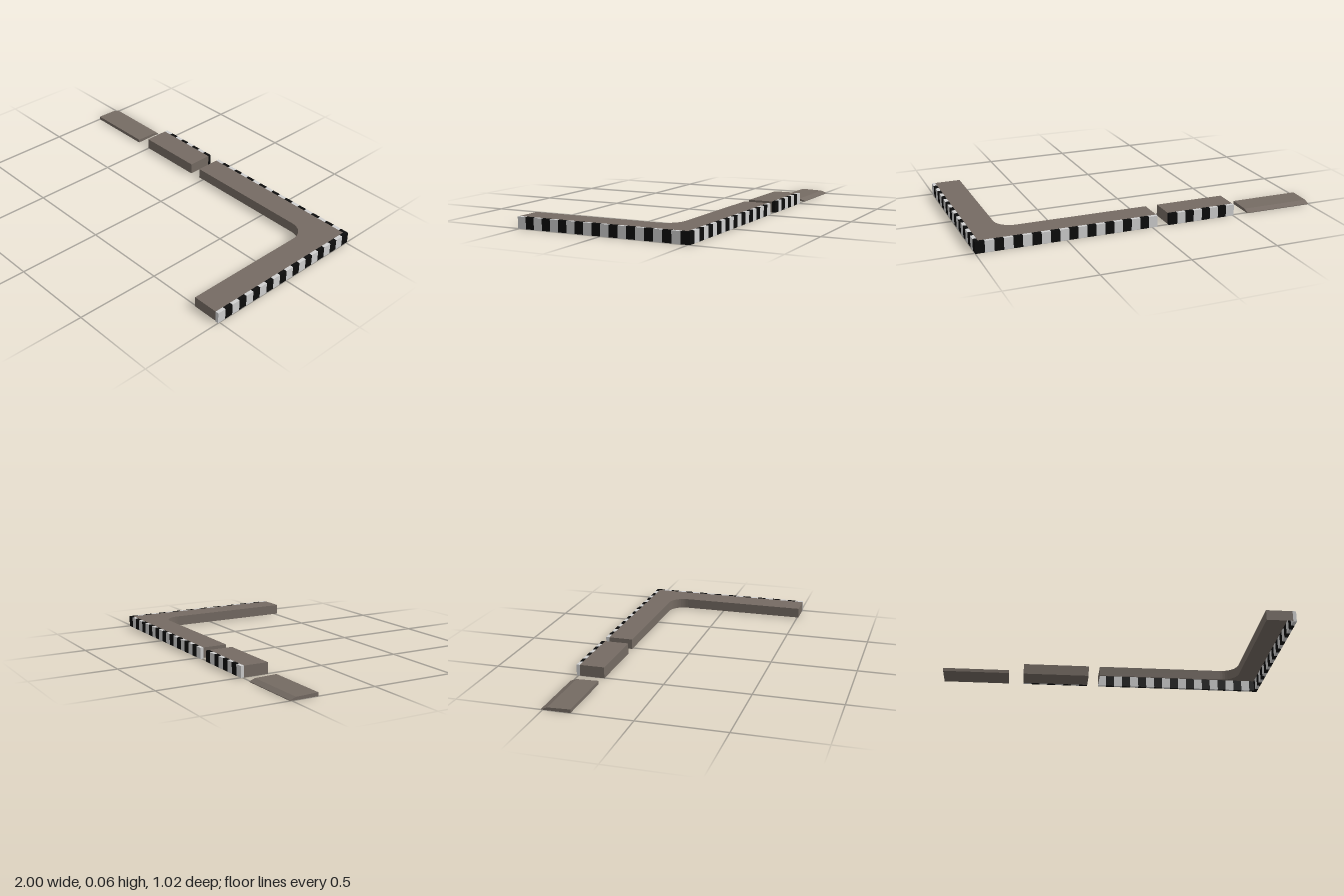
import * as THREE from 'three';

const HEIGHT = 0.065, BAND = 0.02, BACK = -0.51, FRONT = -0.345;

export function createModel() {
  const group = new THREE.Group();
  const mat = (name, color, side = THREE.FrontSide) => {
    const m = new THREE.MeshStandardMaterial({ color, side });
    m.name = name;
    return m;
  };
  const stone = mat('stone', 0x756b63, THREE.DoubleSide);
  const light = mat('light paint', 0xd0d0d0);
  const black = mat('black paint', 0x0c0c0c);

  const add = (name, geometry, material, parent = group) => {
    const mesh = new THREE.Mesh(geometry, material);
    mesh.name = name;
    parent.add(mesh);
    return mesh;
  };

  // Alternating painted blocks from one end of a curb to the other
  function stripes(name, axis, from, to, across, count) {
    const band = new THREE.Group();
    band.name = name;
    const step = (to - from) / count, len = Math.abs(step);
    for (let i = 0; i < count; i++) {
      const size = axis === 'x' ? [len, HEIGHT, BAND] : [BAND, HEIGHT, len];
      const mesh = add('stripe', new THREE.BoxGeometry(...size), i % 2 ? black : light, band);
      const along = from + (i + 0.5) * step;
      mesh.position.set(axis === 'x' ? along : across, HEIGHT / 2, axis === 'x' ? across : along);
    }
    group.add(band);
  }

  // Corner curb: hollow underneath, with a rounded inner corner
  const edge = [[-0.03, BACK + BAND], [-0.03, FRONT]];
  const r = 0.1;
  for (let i = 0; i <= 10; i++) {
    const a = (i / 10) * Math.PI / 2;
    edge.push([0.83 - r + r * Math.sin(a), FRONT + r - r * Math.cos(a)]);
  }
  edge.push([0.83, 0.51], [1 - BAND, 0.51]);

  const outline = [...edge, [1 - BAND, BACK + BAND]].map(([x, z]) => new THREE.Vector2(x, -z));
  const deck = new THREE.ShapeGeometry(new THREE.Shape(outline));
  deck.rotateX(-Math.PI / 2).translate(0, HEIGHT, 0);
  add('cornerDeck', deck, stone);

  // Wall ribbon follows the inner edge and both ends
  const ribbon = new THREE.PlaneGeometry(1, 1, edge.length - 1, 1);
  const pos = ribbon.attributes.position;
  for (let i = 0; i < pos.count; i++) {
    const [x, z] = edge[i % edge.length];
    pos.setXYZ(i, x, i < edge.length ? HEIGHT : 0.005, z);
  }
  const wall = ribbon.toNonIndexed();
  wall.computeVertexNormals();
  add('cornerWall', wall, stone);

  stripes('cornerBackStripes', 'x', -0.03, 1, BACK + BAND / 2, 20);
  stripes('cornerSideStripes', 'z', 0.51, BACK, 1 - BAND / 2, 20);

  // Short straight curb
  const depth = FRONT - BACK - BAND;
  add('shortCurb', new THREE.BoxGeometry(0.405, HEIGHT, depth), stone)
    .position.set(-0.3025, HEIGHT / 2, FRONT - depth / 2);
  stripes('shortCurbStripes', 'x', -0.505, -0.1, BACK + BAND / 2, 8);

  // Low plate whose back edge slopes to the ground
  const profile = new THREE.Shape([[FRONT, 0], [FRONT, 0.02], [-0.475, 0.016], [BACK, 0.003], [BACK, 0]]
    .map(([z, y]) => new THREE.Vector2(-z, y)));
  const plate = new THREE.ExtrudeGeometry(profile, { depth: 0.405, bevelEnabled: false });
  plate.rotateY(Math.PI / 2).translate(-1, 0, 0);
  add('lowPlate', plate, stone);

  return group;
}
